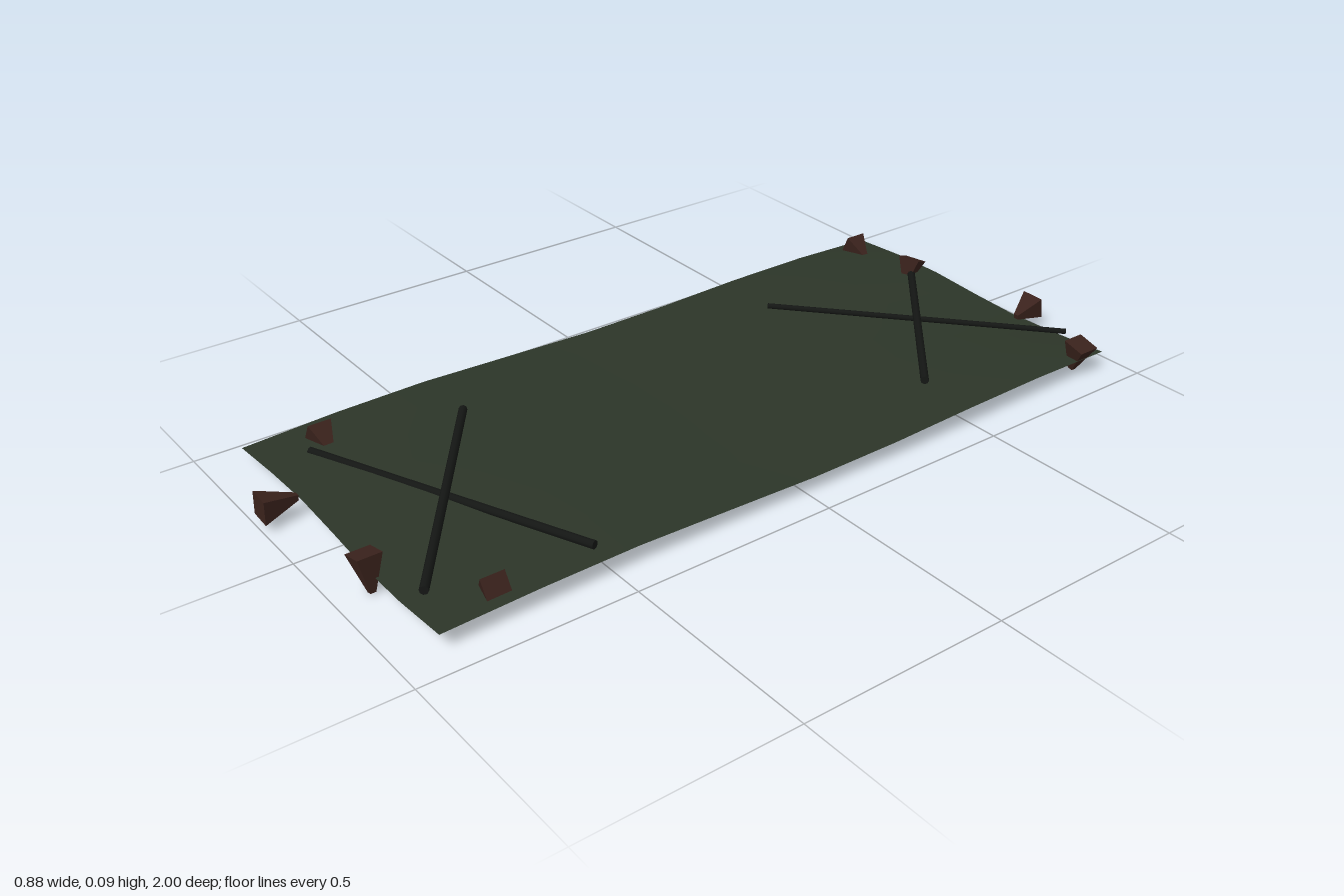
import * as THREE from 'three';

const clothMat = new THREE.MeshStandardMaterial({ color: 0x2c3528, side: THREE.DoubleSide });
const stickMat = new THREE.MeshStandardMaterial({ color: 0x141614 });
const pegMat = new THREE.MeshStandardMaterial({ color: 0x3a221c, flatShading: true });

// Cylinder running from a (radius ra) to b (radius rb)
function rod(name, a, b, ra, rb, sides, mat) {
  const from = new THREE.Vector3(...a), to = new THREE.Vector3(...b);
  const dir = to.clone().sub(from);
  const geo = new THREE.CylinderGeometry(rb, ra, dir.length(), sides);
  if (sides === 4) geo.rotateY(Math.PI / 4);
  const mesh = new THREE.Mesh(geo, mat);
  mesh.name = name;
  mesh.position.copy(from).add(to).multiplyScalar(0.5);
  mesh.quaternion.setFromUnitVectors(new THREE.Vector3(0, 1, 0), dir.normalize());
  return mesh;
}

// Thin ground cloth with gentle ripples and slightly uneven edges
function groundCloth() {
  const geo = new THREE.PlaneGeometry(0.865, 1.86, 6, 8).rotateX(-Math.PI / 2);
  const p = geo.attributes.position;
  for (let i = 0; i < p.count; i++) {
    const x = p.getX(i), z = p.getZ(i) - 0.02;
    const ripple = 0.006 * z * z * Math.sin(9 * x + 3 * z);
    p.setXYZ(i,
      x - 0.003 - 0.005 * Math.sin(4.5 * z),
      0.043 - 0.006 * Math.cos(5.5 * z) + ripple,
      z + 0.004 * Math.sin(8 * x));
  }
  geo.computeVertexNormals();
  const mesh = new THREE.Mesh(geo, clothMat);
  mesh.name = 'groundCloth';
  return mesh;
}

export function createModel() {
  const model = new THREE.Group();
  model.add(groundCloth());

  // Two crossed pairs of sticks, one pair near each end
  const sticks = [
    [[-0.25, 0.045, -0.95], [0.31, 0.077, -0.46], 0.01],
    [[-0.25, 0.055, -0.45], [0.30, 0.047, -0.96], 0.007],
    [[-0.27, 0.048, 0.44], [0.33, 0.072, 0.88], 0.01],
    [[-0.32, 0.042, 0.80], [0.38, 0.056, 0.52], 0.01],
  ];
  for (const [a, b, r] of sticks) model.add(rod('stick', a, b, r, r, 8, stickMat));

  // Tapered square pegs: centre of the head, then the tip
  const pegs = [
    [[-0.405, 0.06, -0.88], [-0.35, 0.035, -0.88]],
    [[-0.195, 0.082, -0.905], [-0.19, 0.02, -0.88]],
    [[0.16, 0.06, -0.99], [0.165, 0.045, -0.925]],
    [[0.415, 0.083, -0.88], [0.395, 0.01, -0.88]],
    [[-0.37, 0.058, 0.755], [-0.31, 0.025, 0.755]],
    [[0.39, 0.058, 0.755], [0.33, 0.02, 0.755]],
    [[-0.157, 0.052, 0.995], [-0.155, 0.05, 0.91]],
    [[0.165, 0.085, 0.92], [0.185, 0.003, 0.92]],
  ];
  for (const [head, tip] of pegs) model.add(rod('peg', head, tip, 0.04, 0.009, 4, pegMat));

  return model;
}
